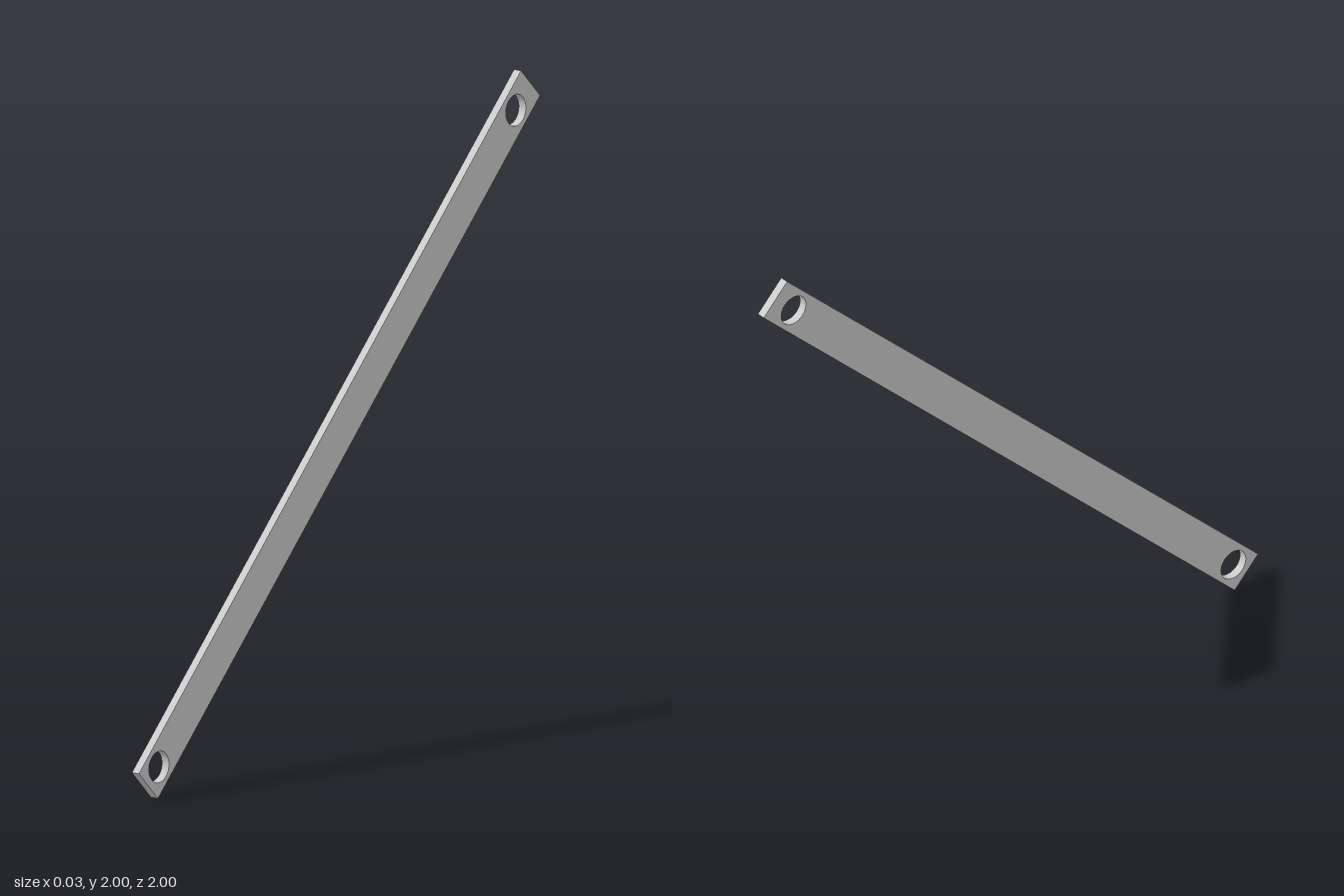
import * as THREE from 'three';

export function createModel() {
  const group = new THREE.Group();
  const halfLength = 1.347, halfWidth = 0.067, thickness = 0.028, holeRadius = 0.05;

  // Flat strip outline
  const outline = new THREE.Shape();
  outline.moveTo(-halfLength, -halfWidth);
  outline.lineTo(halfLength, -halfWidth);
  outline.lineTo(halfLength, halfWidth);
  outline.lineTo(-halfLength, halfWidth);
  outline.closePath();

  // Bolt holes, the upper one set slightly further in from its end
  for (const u of [-halfLength + 0.074, halfLength - 0.104]) {
    const hole = new THREE.Path();
    hole.absarc(u, 0, holeRadius, 0, Math.PI * 2, true);
    outline.holes.push(hole);
  }

  const geometry = new THREE.ExtrudeGeometry(outline, {
    depth: thickness, bevelEnabled: false, curveSegments: 32,
  });
  // Stand the strip on its lower front corner, rising towards the back
  geometry.translate(0, 0, -thickness / 2);
  geometry.rotateY(Math.PI / 2);
  geometry.rotateX(Math.PI / 4);
  geometry.translate(0, 1, 0);

  const brace = new THREE.Mesh(geometry, new THREE.MeshStandardMaterial({ color: 0xcccccc }));
  brace.name = 'diagonalBrace';
  group.add(brace);
  return group;
}
